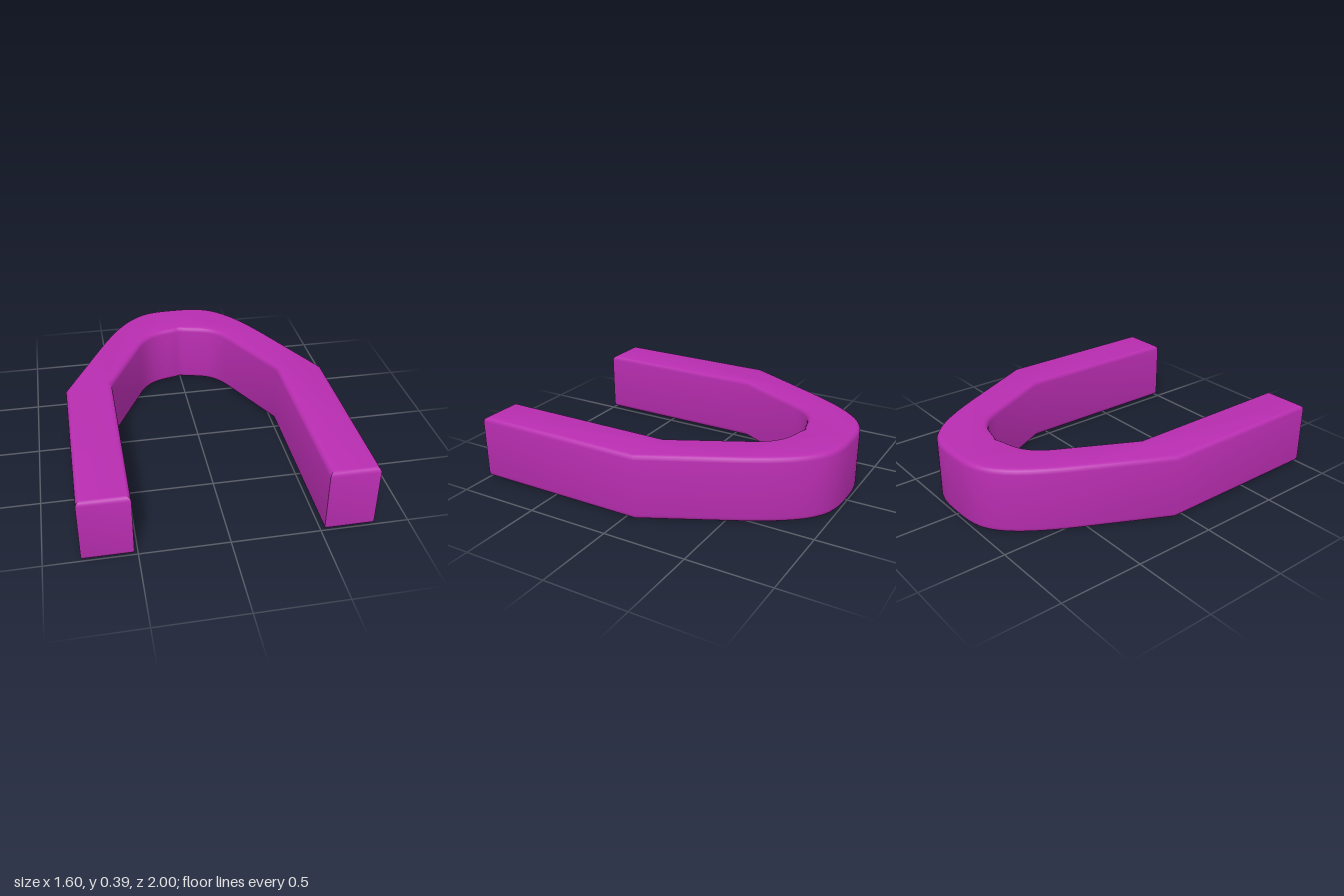
import * as THREE from 'three';
import { toCreasedNormals } from 'three/addons/utils/BufferGeometryUtils.js';

const HEIGHT = 0.393;
const BEVEL = 0.03;

// Plan of the arch: two straight legs joined by a rounded bow (shape y = -z)
function archOutline() {
  const s = new THREE.Shape();
  s.moveTo(0.8, -1);
  s.lineTo(0.8, 0.06);
  s.lineTo(0.56, 0.54);
  s.bezierCurveTo(0.33, 1, 0.2, 1, 0, 1);
  s.bezierCurveTo(-0.2, 1, -0.33, 1, -0.56, 0.54);
  s.lineTo(-0.8, 0.06);
  s.lineTo(-0.8, -1);
  // inner edge, back the other way
  s.lineTo(-0.52, -1);
  s.lineTo(-0.52, 0.085);
  s.lineTo(-0.3, 0.52);
  s.bezierCurveTo(-0.21, 0.7, -0.1, 0.67, 0, 0.71);
  s.bezierCurveTo(0.1, 0.67, 0.21, 0.7, 0.3, 0.52);
  s.lineTo(0.52, 0.085);
  s.lineTo(0.52, -1);
  s.closePath();
  return s;
}

export function createModel() {
  const model = new THREE.Group();
  model.name = 'archModel';

  // Rounded top and bottom rims, kept inside the outline
  const geometry = new THREE.ExtrudeGeometry(archOutline(), {
    depth: HEIGHT - 2 * BEVEL,
    bevelEnabled: true,
    bevelThickness: BEVEL,
    bevelSize: BEVEL,
    bevelOffset: -BEVEL,
    bevelSegments: 4,
    curveSegments: 14,
  });
  geometry.translate(0, 0, BEVEL);
  geometry.rotateX(-Math.PI / 2);

  const arch = new THREE.Mesh(
    toCreasedNormals(geometry, 0.8),
    new THREE.MeshStandardMaterial({ color: 0xb82db0 })
  );
  arch.name = 'arch';
  model.add(arch);
  return model;
}
